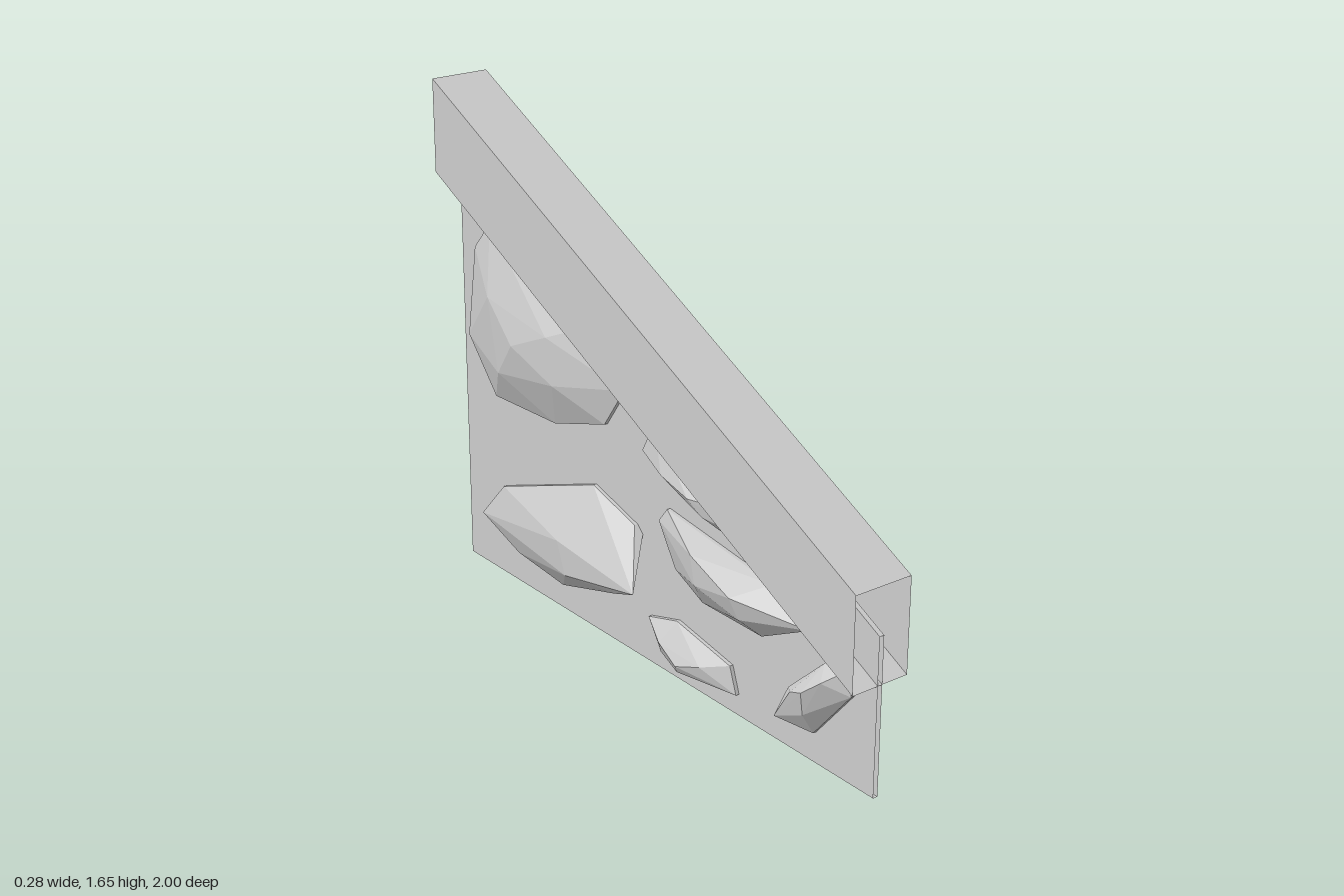
import * as THREE from 'three';
import { ConvexGeometry } from 'three/addons/geometries/ConvexGeometry.js';

const grey = new THREE.MeshStandardMaterial({ color: 0xcccccc, flatShading: true });
const thinGrey = new THREE.MeshStandardMaterial({ color: 0xcccccc, flatShading: true, side: THREE.DoubleSide });

// Long box whose top and bottom follow rules of z; its front and back ends stay open
function openBeam(name, width, bottomAt, topAt) {
  const geo = new THREE.BoxGeometry(width, 1, 2);
  const p = geo.attributes.position;
  for (let i = 0; i < p.count; i++) {
    const z = p.getZ(i);
    p.setY(i, p.getY(i) > 0 ? topAt(z) : bottomAt(z));
  }
  geo.setIndex(Array.from(geo.index.array).slice(0, 24));
  geo.clearGroups();
  geo.computeVertexNormals();
  const mesh = new THREE.Mesh(geo, thinGrey);
  mesh.name = name;
  return mesh;
}

// Faceted stone through the wall: a [z, y] outline at the wall and one [x, z, y] peak per side.
// Every second outline point also gets a shoulder, halfway in towards each peak.
function stone(name, outline, peaks) {
  const pts = [];
  peaks.forEach(([px, pz, py], side) => {
    const peak = new THREE.Vector3(px, py, pz);
    pts.push(peak);
    outline.forEach(([z, y], i) => {
      const rim = new THREE.Vector3(Math.sign(px) * 0.02, y, z);
      pts.push(rim);
      if (i % 2 === side) {
        const shoulder = rim.clone().lerp(peak, 0.5);
        shoulder.x = px * 0.8;
        pts.push(shoulder);
      }
    });
  });
  const mesh = new THREE.Mesh(new ConvexGeometry(pts), grey);
  mesh.name = name;
  return mesh;
}

export function createModel() {
  const group = new THREE.Group();
  group.name = 'slopedStoneWall';
  const slope = (z) => 1 - 0.5 * z;

  group.add(
    // Thin wall, reaching halfway into the hollow sloping cap
    openBeam('wallPanel', 0.016, () => 0, slope),
    openBeam('slopedCap', 0.2, (z) => slope(z) - 0.15, (z) => slope(z) + 0.15),

    // Stones, from the back of the wall to the front
    stone('upperBackStone',
      [[-0.12, 0.86], [-0.22, 0.72], [-0.48, 0.64], [-0.81, 0.63], [-0.96, 0.8], [-0.91, 1.11], [-0.82, 1.21], [-0.28, 1.02]],
      [[0.105, -0.58, 0.84], [-0.1, -0.6, 0.88]]),
    stone('lowerBackStone',
      [[-0.07, 0.44], [-0.18, 0.19], [-0.45, 0.09], [-0.7, 0.11], [-0.91, 0.18], [-0.78, 0.32], [-0.28, 0.5]],
      [[0.11, -0.58, 0.31], [-0.14, 0.08, 0.3]]),
    stone('middleStone',
      [[0.73, 0.41], [0.53, 0.31], [0.26, 0.31], [0.13, 0.37], [0.05, 0.5], [0.09, 0.55], [0.57, 0.49]],
      [[0.085, 0.33, 0.46], [-0.12, 0.5, 0.45]]),
    stone('bottomStone',
      [[0.42, 0.07], [0.18, 0.035], [0.06, 0.065], [0, 0.16], [0.14, 0.2], [0.39, 0.155]],
      [[0.135, 0.38, 0.13], [-0.075, 0.2, 0.09]]),
    stone('frontStone',
      [[0.91, 0.28], [0.9, 0.36], [0.8, 0.34], [0.65, 0.2], [0.59, 0.08], [0.76, 0.1]],
      [[0.035, 0.77, 0.23], [-0.09, 0.78, 0.26]]),
    stone('upperFrontStone',
      [[0.51, 0.59], [0.35, 0.57], [0.14, 0.62], [-0.03, 0.7], [0.03, 0.81], [0.42, 0.67]],
      [[0.08, 0.12, 0.68], [-0.08, 0.26, 0.66]]),
  );
  return group;
}
